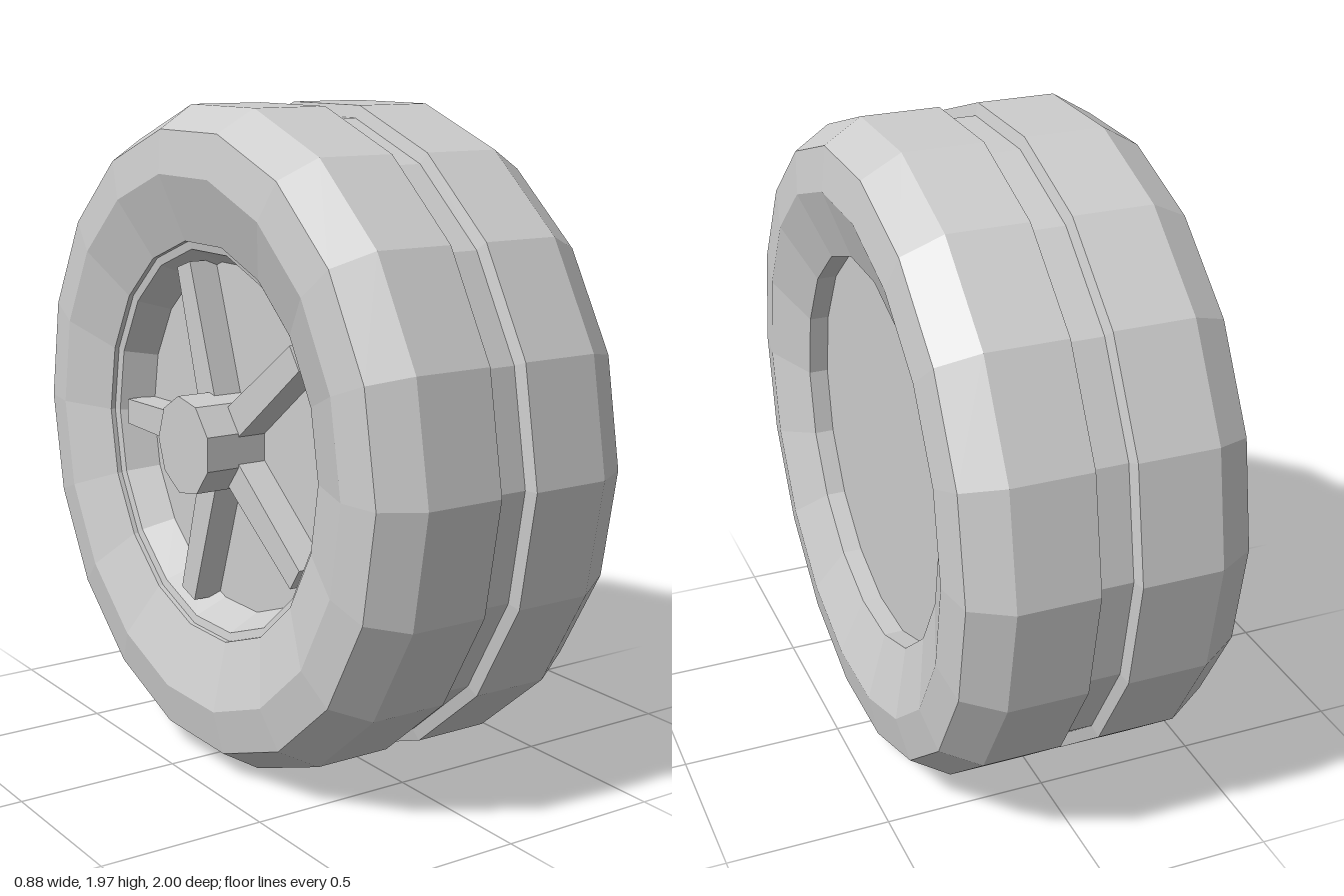
import * as THREE from 'three';

const SIDES = 18;
const CENTRE_Y = Math.cos(Math.PI / SIDES); // the wheel rests on a flat facet

const grey = new THREE.MeshStandardMaterial({ color: 0xcccccc });
grey.name = 'light grey';

// faceted mesh with one normal per face
function facetedMesh(name, geometry) {
  const flat = geometry.toNonIndexed();
  flat.computeVertexNormals();
  const mesh = new THREE.Mesh(flat, grey);
  mesh.name = name;
  return mesh;
}

// revolve [x, radius] pairs, running from -x to +x, around the axle
function revolve(profile) {
  const points = profile.map(([x, r]) => new THREE.Vector2(r, x));
  return new THREE.LatheGeometry(points, SIDES).rotateZ(-Math.PI / 2);
}

export function createModel() {
  const wheel = new THREE.Group();
  wheel.name = 'wheel';

  // recessed rim face on the outer side, with a small lip
  wheel.add(facetedMesh('rim', revolve([
    [-0.25, 0], [-0.25, 0.53], [-0.35, 0.575], [-0.355, 0.6], [-0.37, 0.6],
  ])));

  // tyre with bevelled shoulders and a central tread groove
  wheel.add(facetedMesh('tyre', revolve([
    [-0.37, 0.6], [-0.435, 0.8], [-0.415, 0.93], [-0.3, 1], [-0.06, 1], [-0.05, 0.963],
    [0.05, 0.963], [0.06, 1], [0.3, 1], [0.415, 0.93], [0.435, 0.8], [0.365, 0.6],
  ])));

  // plain recessed disc on the inner side
  wheel.add(facetedMesh('backDisc', revolve([[0.365, 0.6], [0.305, 0.6], [0.305, 0]])));

  // nine-sided hub
  const hub = facetedMesh('hub', new THREE.CylinderGeometry(0.149, 0.149, 0.195, 9)
    .rotateY(Math.PI).rotateZ(-Math.PI / 2));
  hub.position.x = -0.3475;
  wheel.add(hub);

  // five slightly tapered spokes
  for (let i = 0; i < 5; i++) {
    const bar = new THREE.BoxGeometry(0.09, 0.1, 0.44);
    const p = bar.attributes.position;
    for (let j = 0; j < p.count; j++) {
      if (p.getZ(j) < 0) p.setY(j, p.getY(j) * 0.8);
    }
    bar.translate(-0.295, 0, -0.32).rotateX(i * Math.PI * 2 / 5);
    wheel.add(facetedMesh('spoke', bar));
  }

  wheel.position.y = CENTRE_Y;
  const model = new THREE.Group();
  model.name = 'wheelModel';
  model.add(wheel);
  return model;
}
